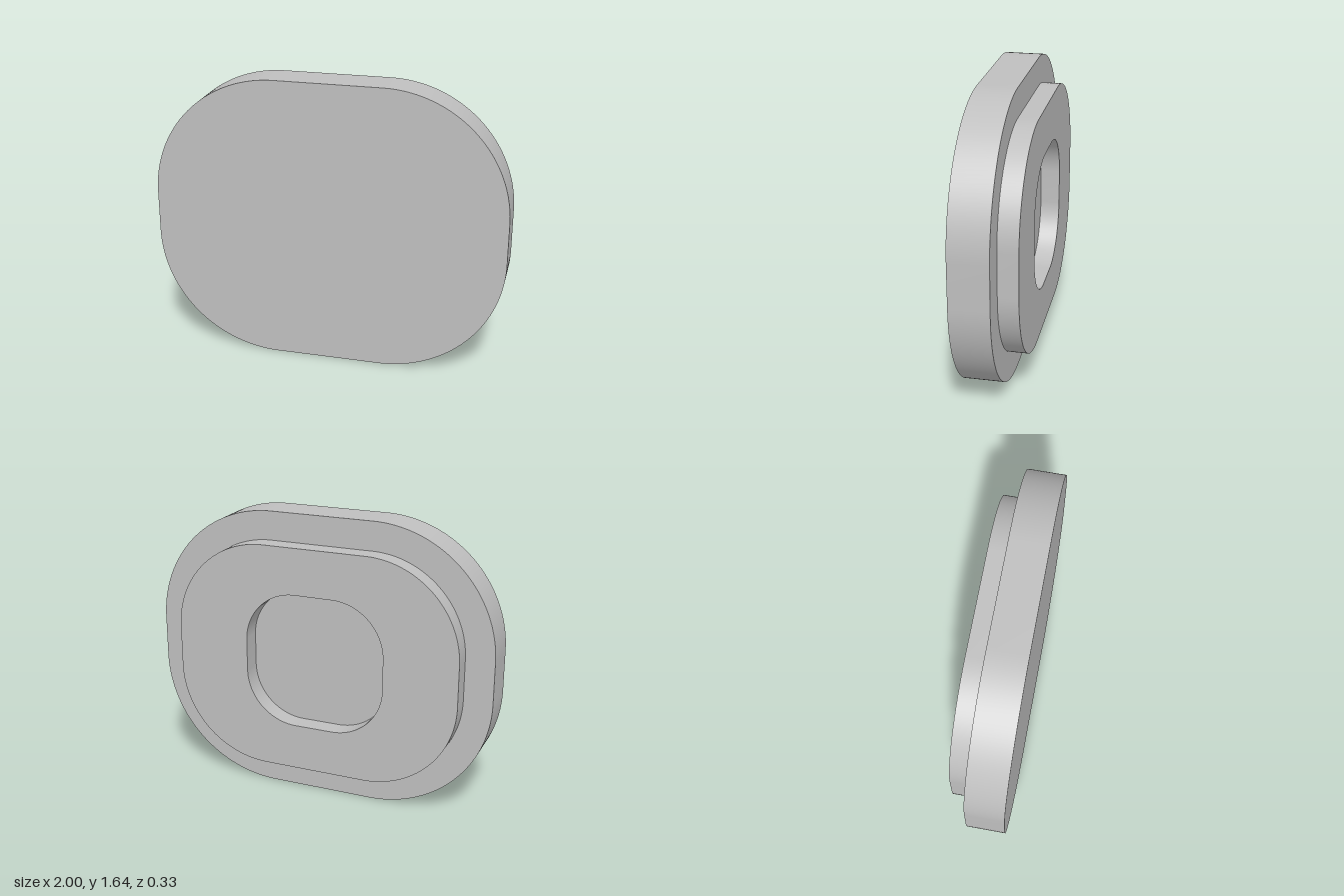
import * as THREE from 'three';
import { toCreasedNormals } from 'three/addons/utils/BufferGeometryUtils.js';

const CENTER_Y = 0.82;

// Rounded rectangle from half sizes and corner radius
function roundedRect(path, hw, hh, r) {
  const x = hw - r, y = hh - r;
  path.moveTo(-x, -hh);
  path.lineTo(x, -hh);
  path.absarc(x, -y, r, -Math.PI / 2, 0);
  path.lineTo(hw, y);
  path.absarc(x, y, r, 0, Math.PI / 2);
  path.lineTo(-x, hh);
  path.absarc(-x, y, r, Math.PI / 2, Math.PI);
  path.lineTo(-hw, -y);
  path.absarc(-x, -y, r, Math.PI, Math.PI * 1.5);
  return path;
}

// Plate extruded from zBack to zFront, with smooth rounded sides
function plate(name, shape, zBack, zFront, material) {
  const geometry = new THREE.ExtrudeGeometry(shape, {
    depth: zFront - zBack, bevelEnabled: false, curveSegments: 24,
  });
  const mesh = new THREE.Mesh(toCreasedNormals(geometry, 0.5), material);
  mesh.name = name;
  mesh.position.set(0, CENTER_Y, zBack);
  return mesh;
}

export function createModel() {
  const group = new THREE.Group();
  group.name = 'steppedCap';
  const grey = new THREE.MeshStandardMaterial({ color: 0xbfbfbf });
  grey.name = 'grey';

  // Solid front plate
  const face = roundedRect(new THREE.Shape(), 1, 0.82, 0.7);
  group.add(plate('frontPlate', face, -0.053, 0.164, grey));

  // Smaller raised step on the back with a recess down to the plate
  const step = roundedRect(new THREE.Shape(), 0.836, 0.656, 0.536);
  step.holes.push(roundedRect(new THREE.Path(), 0.41, 0.39, 0.3));
  group.add(plate('backStep', step, -0.164, -0.053, grey));

  return group;
}
